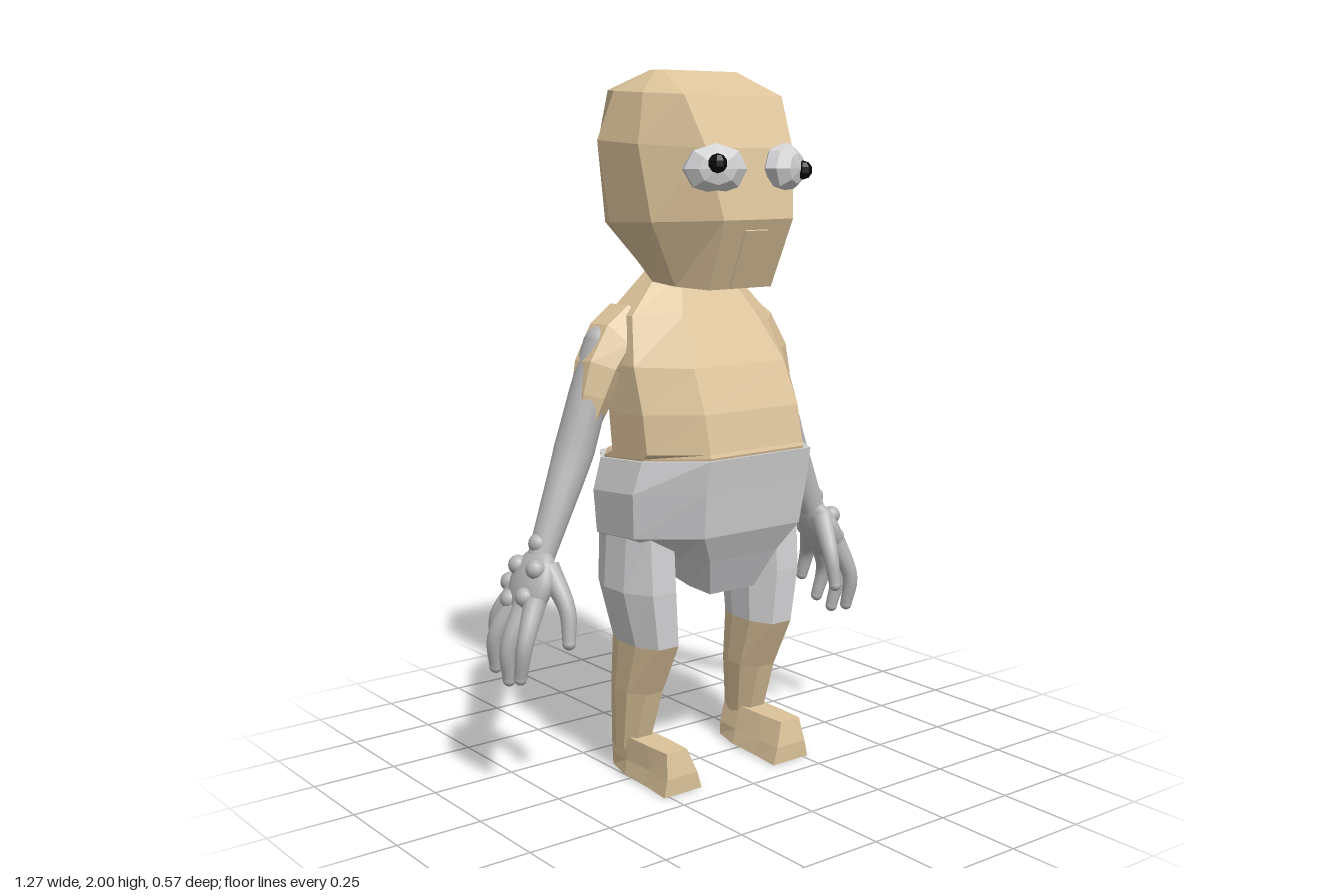
import * as THREE from 'three';

const colour = (name, hex) => {
  const m = new THREE.MeshStandardMaterial({ color: hex });
  m.name = name;
  return m;
};

// Faceted normals for low-poly parts
function facet(geometry) {
  const g = geometry.index ? geometry.toNonIndexed() : geometry;
  g.computeVertexNormals();
  return g;
}

// Eight-sided cross-section: front/back height, half width, front/back z,
// half widths of the front and back edges, centre x
function section([yf, yb, w, zf, zb, f, b, cx = 0]) {
  const at = (x, t) => [cx + x, yb + (yf - yb) * t, zb + (zf - zb) * t];
  return [at(f, 1), at(w, 0.68), at(w, 0.3), at(b, 0), at(-b, 0), at(-w, 0.3), at(-w, 0.68), at(-f, 1)];
}

// Closed faceted body through sections listed from bottom to top
function loft(sections) {
  const rings = sections.map(section);
  const pos = [], idx = [], n = 8, last = rings.length - 1;
  rings.forEach(r => r.forEach(p => pos.push(...p)));
  for (let i = 0; i < last; i++) {
    for (let j = 0; j < n; j++) {
      const a = i * n + j, b = i * n + (j + 1) % n;
      idx.push(a, b, b + n, a, b + n, a + n);
    }
  }
  for (let j = 1; j < n - 1; j++) {
    idx.push(0, j + 1, j);
    idx.push(last * n, last * n + j, last * n + j + 1);
  }
  const g = new THREE.BufferGeometry();
  g.setAttribute('position', new THREE.Float32BufferAttribute(pos, 3));
  g.setIndex(idx);
  return facet(g);
}

// Tube of varying radius through points [x, y, z, radius]
function limb(points, sides = 12, steps = 16) {
  const curve = new THREE.CatmullRomCurve3(points.map(p => new THREE.Vector3(p[0], p[1], p[2])));
  const g = new THREE.TubeGeometry(curve, steps, 1, sides);
  const pos = g.attributes.position, v = new THREE.Vector3();
  for (let i = 0; i < pos.count; i++) {
    const u = Math.floor(i / (sides + 1)) / steps;
    const c = curve.getPointAt(u);
    const k = u * (points.length - 1), a = Math.min(Math.floor(k), points.length - 2);
    const r = THREE.MathUtils.lerp(points[a][3], points[a + 1][3], k - a);
    v.fromBufferAttribute(pos, i).sub(c).multiplyScalar(r).add(c);
    pos.setXYZ(i, v.x, v.y, v.z);
  }
  return g;
}

export function createModel() {
  const skin = colour('skin tan', 0xdcc39a);
  const pale = colour('pale grey', 0xd2d2d4);
  const grey = colour('arm grey', 0xb6b6b8);
  const black = colour('pupil black', 0x080808);
  const model = new THREE.Group();
  model.name = 'figure';

  const add = (name, geometry, material, parent = model) => {
    const mesh = new THREE.Mesh(geometry, material);
    mesh.name = name;
    parent.add(mesh);
    return mesh;
  };
  const ball = (name, r, p, material, parent) => {
    const mesh = add(name, new THREE.SphereGeometry(r, 16, 10), material, parent);
    mesh.position.set(...p);
    return mesh;
  };

  // Head
  add('head', loft([
    [1.41, 1.43, 0.155, 0.18, -0.10, 0.11, 0.10],
    [1.60, 1.58, 0.24, 0.26, -0.25, 0.12, 0.15],
    [1.79, 1.82, 0.255, 0.22, -0.285, 0.15, 0.145],
    [1.93, 1.95, 0.22, 0.15, -0.21, 0.17, 0.165],
    [2.00, 2.00, 0.14, 0.00, -0.06, 0.13, 0.13],
  ]), skin);
  const ridge = add('mouthRidge', facet(new THREE.BoxGeometry(0.08, 0.17, 0.016)), skin);
  ridge.position.set(0, 1.495, 0.213);
  ridge.rotation.x = 0.4;

  // Torso, with a ledge sitting inside the waistband
  add('torso', loft([
    [0.80, 0.80, 0.26, 0.22, -0.17, 0.16, 0.15],
    [0.965, 0.925, 0.275, 0.262, -0.235, 0.165, 0.16],
    [0.975, 0.95, 0.275, 0.258, -0.175, 0.165, 0.15],
    [1.08, 1.06, 0.275, 0.235, -0.185, 0.165, 0.16],
    [1.20, 1.20, 0.27, 0.18, -0.215, 0.16, 0.17],
    [1.33, 1.34, 0.235, 0.09, -0.195, 0.13, 0.13],
    [1.44, 1.46, 0.13, 0.02, -0.12, 0.08, 0.08],
  ]), skin);

  // Shorts
  add('shorts', loft([
    [0.55, 0.59, 0.10, 0.15, -0.07, 0.08, 0.07],
    [0.66, 0.63, 0.155, 0.20, -0.14, 0.12, 0.10],
    [0.74, 0.71, 0.30, 0.24, -0.23, 0.17, 0.17],
    [0.87, 0.83, 0.31, 0.26, -0.24, 0.18, 0.18],
    [0.96, 0.92, 0.285, 0.275, -0.245, 0.18, 0.18],
  ]), pale);

  for (const s of [1, -1]) {
    const side = s > 0 ? 'left' : 'right';

    // Leg
    const knee = [0.41, 0.41, 0.065, 0.125, -0.09, 0.035, 0.04, s * 0.208];
    const leg = new THREE.Group();
    leg.name = side + 'Leg';
    model.add(leg);
    add('trouserLeg', loft([
      knee,
      [0.57, 0.57, 0.083, 0.13, -0.12, 0.04, 0.05, s * 0.225],
      [0.74, 0.74, 0.065, 0.12, -0.13, 0.04, 0.04, s * 0.225],
    ]), pale, leg);
    add('calf', loft([
      [0.08, 0.08, 0.042, 0.00, -0.10, 0.025, 0.035, s * 0.212],
      [0.26, 0.26, 0.06, 0.055, -0.10, 0.03, 0.04, s * 0.208],
      knee,
    ]), skin, leg);
    add('foot', loft([
      [0, 0.01, 0.06, 0.18, -0.105, 0.066, 0.04, s * 0.2],
      [0.05, 0.05, 0.05, 0.18, -0.105, 0.053, 0.04, s * 0.202],
      [0.12, 0.12, 0.04, 0.165, -0.10, 0.035, 0.035, s * 0.21],
    ]), skin, leg);

    // Arm with a faceted shoulder
    const arm = new THREE.Group();
    arm.name = side + 'Arm';
    model.add(arm);
    const flip = pts => pts.map(([x, ...rest]) => [s * x, ...rest]);
    add('shoulder', facet(limb(flip([
      [0.18, 1.30, -0.08, 0.085], [0.265, 1.24, -0.075, 0.08], [0.315, 1.14, -0.07, 0.065], [0.35, 1.03, -0.07, 0.04],
    ]), 6, 4)), skin, arm);
    add('forearm', limb(flip([
      [0.285, 1.26, -0.08, 0.05], [0.335, 1.10, -0.08, 0.056], [0.385, 0.95, -0.08, 0.058],
      [0.44, 0.82, -0.075, 0.048], [0.50, 0.68, -0.07, 0.038],
    ]), 16, 24), grey, arm);
    ball('armTop', 0.05, [s * 0.285, 1.255, -0.08], grey, arm);

    // Hand: palm, five fingers and round knobs on the back
    const palm = ball('palm', 1, [s * 0.532, 0.61, -0.07], grey, arm);
    palm.scale.set(0.044, 0.105, 0.088);
    palm.rotation.z = s * 0.4;
    [
      [[0.505, 0.66, -0.03], [0.485, 0.55, 0.035], [0.49, 0.46, 0.05]],
      [[0.55, 0.58, -0.02], [0.60, 0.46, 0.0], [0.603, 0.365, -0.02]],
      [[0.555, 0.57, -0.06], [0.61, 0.44, -0.07], [0.60, 0.345, -0.085]],
      [[0.555, 0.57, -0.10], [0.61, 0.46, -0.135], [0.60, 0.365, -0.155]],
      [[0.54, 0.59, -0.12], [0.575, 0.51, -0.175], [0.575, 0.43, -0.2]],
    ].forEach((path, i) => {
      const pts = flip(path.map((p, k) => [...p, [0.034, 0.025, 0.018][k]]));
      add('finger' + (i + 1), limb(pts, 10, 10), grey, arm);
      ball('fingertip' + (i + 1), 0.0185, pts[2].slice(0, 3), grey, arm);
    });
    [
      [0.508, 0.72, -0.07], [0.543, 0.66, -0.03], [0.543, 0.655, -0.12],
      [0.572, 0.585, -0.04], [0.577, 0.565, -0.11], [0.548, 0.60, -0.155],
    ].forEach(([x, y, z], i) => ball('knob' + (i + 1), 0.028, [s * x, y, z], grey, arm));

    // Bulging faceted eye turned outward
    const eye = add(side + 'Eye', facet(new THREE.SphereGeometry(1, 8, 5).rotateX(Math.PI / 2)), pale);
    eye.scale.set(0.09, 0.071, 0.052);
    eye.position.set(s * 0.12, 1.735, 0.218);
    eye.rotation.y = s * 0.45;
    const pupil = add(side + 'Pupil', facet(new THREE.SphereGeometry(0.026, 8, 5)), black);
    pupil.position.set(s > 0 ? 0.163 : -0.145, s > 0 ? 1.73 : 1.75, s > 0 ? 0.25 : 0.262);
  }
  return model;
}
